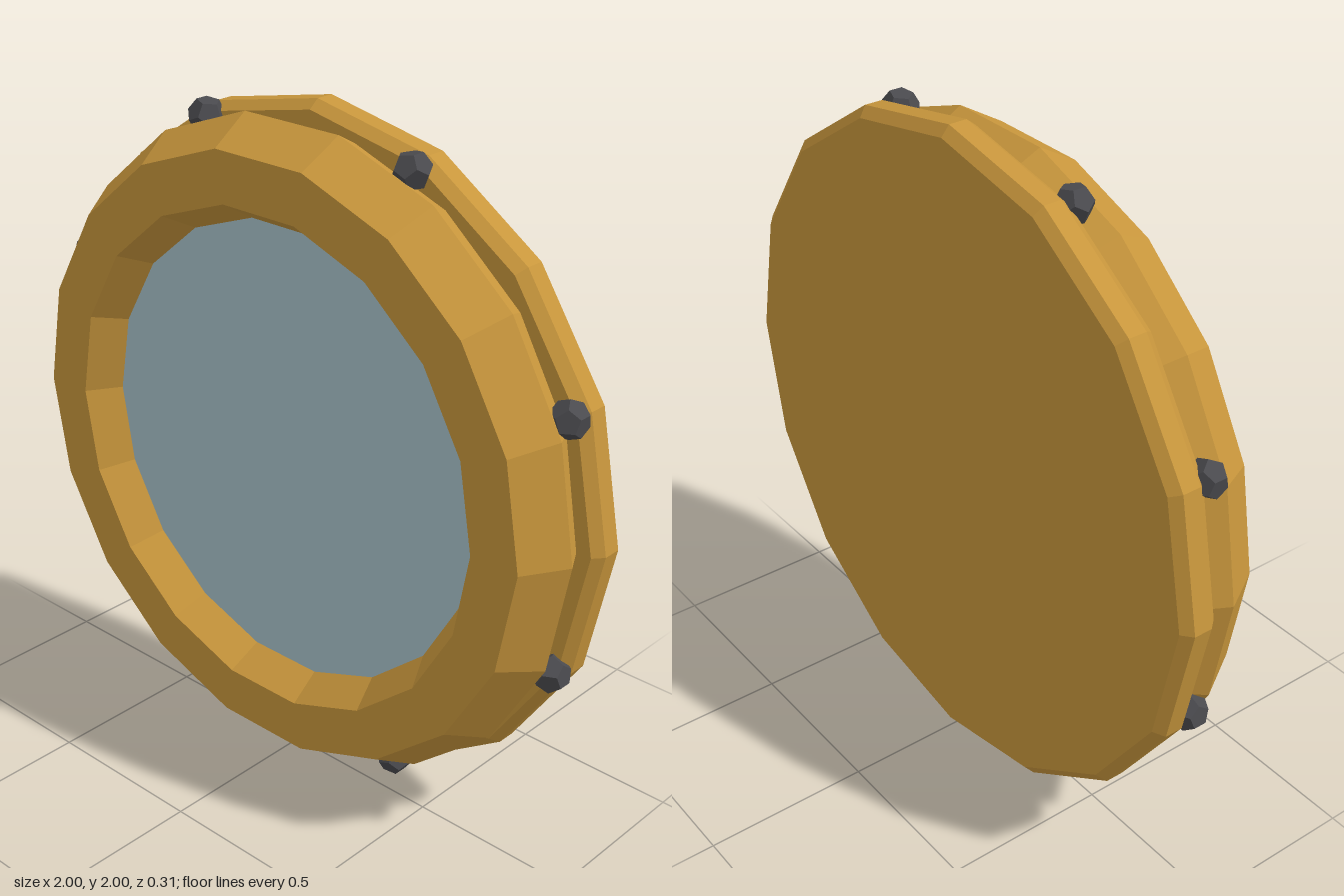
import * as THREE from 'three';

const brass = new THREE.MeshStandardMaterial({ color: 0xc8963c, flatShading: true });
const iron = new THREE.MeshStandardMaterial({ color: 0x4a4a4e, flatShading: true });
const pane = new THREE.MeshStandardMaterial({ color: 0xa8c2ca, flatShading: true });

// Faceted ring around the z axis; profile points are [radius, z]
function ringMesh(name, profile, sides) {
  const points = profile.map(([r, z]) => new THREE.Vector2(r, z));
  const geometry = new THREE.LatheGeometry(points, sides, Math.PI / 2);
  geometry.rotateX(Math.PI / 2);
  const mesh = new THREE.Mesh(geometry, brass);
  mesh.name = name;
  return mesh;
}

export function createModel() {
  const model = new THREE.Group();
  model.name = 'porthole';
  const body = new THREE.Group();
  body.name = 'portholeBody';
  body.position.y = 1;
  model.add(body);

  // Bevelled back plate, closed at the rear
  body.add(ringMesh('backPlate', [
    [0, -0.155], [0.97, -0.155], [1, -0.13], [1, -0.075], [0.975, -0.045], [0.68, -0.045],
  ], 16));

  // Front frame: flared outer wall, flat face, sloped inner wall down to the glass
  body.add(ringMesh('frontFrame', [
    [0.93, -0.045], [0.97, 0.028], [0.895, 0.155], [0.745, 0.155], [0.685, 0.055],
  ], 18));

  // Window pane
  const glass = new THREE.Mesh(new THREE.CircleGeometry(0.687, 18), pane);
  glass.name = 'glass';
  glass.position.z = 0.056;
  body.add(glass);

  // Eight bolts between plate and frame
  const boltGeometry = new THREE.DodecahedronGeometry(0.055);
  for (let i = 0; i < 8; i++) {
    const angle = ((i + 0.5) * Math.PI) / 4;
    const bolt = new THREE.Mesh(boltGeometry, iron);
    bolt.name = `bolt${i + 1}`;
    bolt.position.set(0.967 * Math.cos(angle), 0.967 * Math.sin(angle), -0.025);
    bolt.rotation.z = angle;
    body.add(bolt);
  }
  return model;
}
